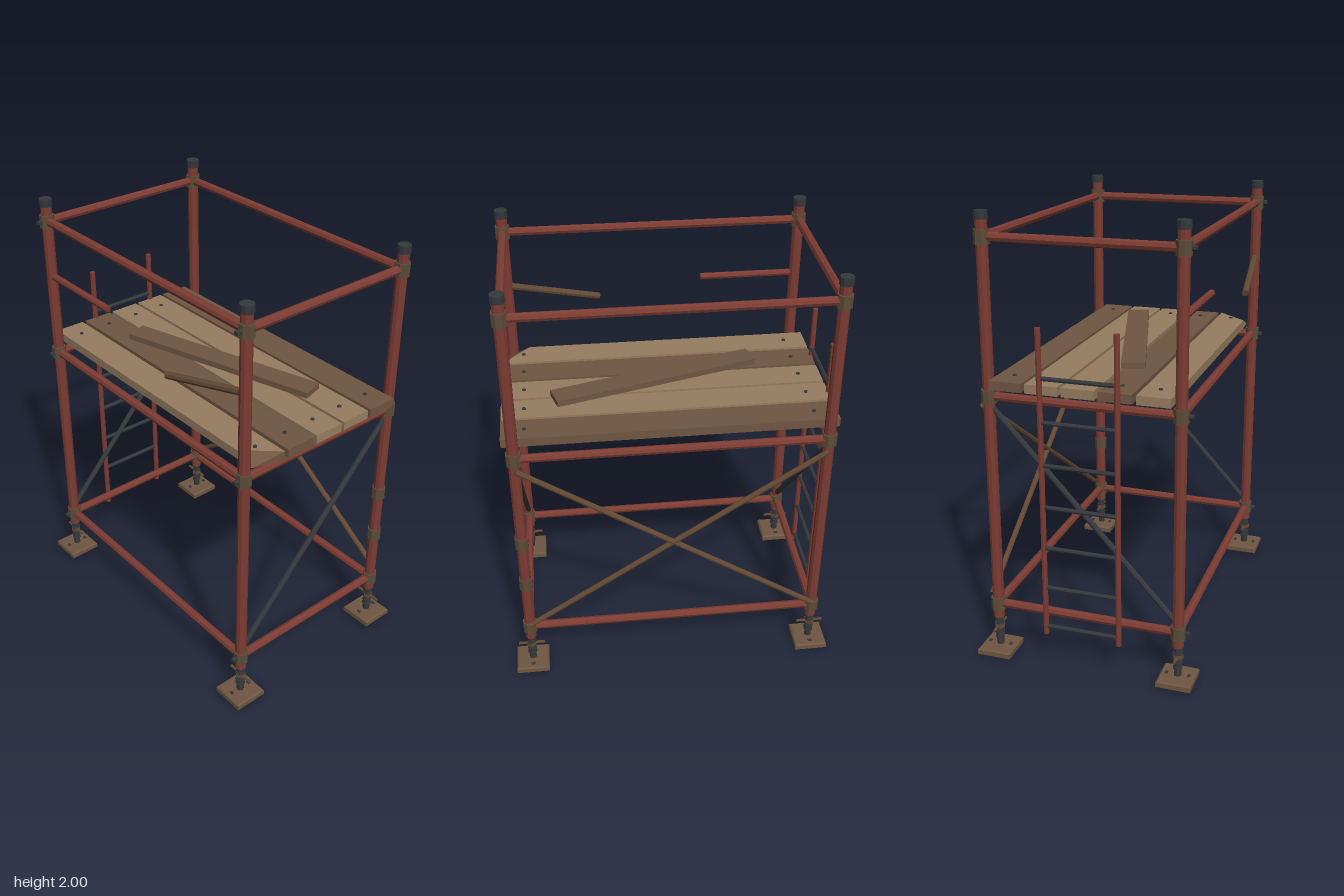
import * as THREE from 'three';

const mat = (name, color, flat = true) => {
  const m = new THREE.MeshStandardMaterial({ color, flatShading: flat });
  m.name = name;
  return m;
};

export function createModel() {
  const root = new THREE.Group();
  root.name = 'scaffold';
  const red = mat('redPaint', 0x7c3c33);
  const steel = mat('darkSteel', 0x34383c);
  const clampMetal = mat('clampMetal', 0x5c4c38);
  const rust = mat('rustyBrace', 0x634934);
  const paleWood = mat('paleWood', 0x967d60);
  const darkWood = mat('darkWood', 0x705642);

  const add = (name, geometry, material, x = 0, y = 0, z = 0, parent = root) => {
    const mesh = new THREE.Mesh(geometry, material);
    mesh.name = name;
    mesh.position.set(x, y, z);
    parent.add(mesh);
    return mesh;
  };
  // Round tube between two points
  const tube = (name, a, b, r, material, sides = 8, parent = root) => {
    const p = new THREE.Vector3(...a), q = new THREE.Vector3(...b);
    const d = q.clone().sub(p);
    const geo = new THREE.CylinderGeometry(r, r, d.length(), sides);
    const mesh = add(name, geo, material, 0, 0, 0, parent);
    mesh.position.copy(p).add(q).multiplyScalar(0.5);
    mesh.quaternion.setFromUnitVectors(new THREE.Vector3(0, 1, 0), d.normalize());
    return mesh;
  };

  const PX = 0.685, PZ = 0.42;
  const levels = [0.245, 1.225, 1.895];

  // Base plate with chamfered rim
  const plateShape = new THREE.Shape();
  const h = 0.071;
  plateShape.moveTo(-h, -h).lineTo(h, -h).lineTo(h, h).lineTo(-h, h).closePath();
  const plateGeo = new THREE.ExtrudeGeometry(plateShape, {
    depth: 0.022, bevelEnabled: true, bevelSize: 0.007, bevelThickness: 0.007, bevelSegments: 1,
  });
  plateGeo.rotateX(-Math.PI / 2).translate(0, 0.007, 0);

  // Corner legs: plate, screw jack, post, cap and clamps
  for (const sx of [-1, 1]) for (const sz of [-1, 1]) {
    const leg = new THREE.Group();
    leg.name = 'cornerLeg';
    leg.position.set(sx * PX, 0, sz * PZ);
    root.add(leg);
    add('basePlate', plateGeo, darkWood, 0, 0, 0, leg);
    for (const bz of [-0.05, 0.05])
      add('plateBolt', new THREE.BoxGeometry(0.018, 0.006, 0.012), steel, 0, 0.038, bz, leg);
    tube('jackScrew', [0, 0.03, 0], [0, 0.2, 0], 0.017, steel, 8, leg);
    for (let i = 0; i < 5; i++)
      add('jackThread', new THREE.CylinderGeometry(0.022, 0.022, 0.009, 8), steel, 0, 0.075 + i * 0.023, 0, leg);
    add('jackNut', new THREE.CylinderGeometry(0.025, 0.025, 0.02, 6), rust, 0, 0.13, 0, leg);
    tube('jackHandle', [-0.063, 0.13, 0], [0.063, 0.13, 0], 0.007, rust, 6, leg);
    tube('post', [0, 0.178, 0], [0, 1.97, 0], 0.026, red, 10, leg);
    add('postCap', new THREE.CylinderGeometry(0.03, 0.03, 0.035, 10), steel, 0, 1.9825, 0, leg);
    for (const y of levels) {
      add('clamp', new THREE.CylinderGeometry(0.034, 0.034, 0.06, 8).rotateY(Math.PI / 8), clampMetal, 0, y, 0, leg);
      add('clampBolt', new THREE.CylinderGeometry(0.011, 0.011, 0.022, 6).rotateX(Math.PI / 2), steel, 0, y, 0.041, leg);
    }
  }

  // Repair sleeves on one rear post
  for (const y of [0.52, 0.765])
    add('repairSleeve', new THREE.CylinderGeometry(0.032, 0.032, 0.06, 8).rotateY(Math.PI / 8), clampMetal, PX, y, -PZ);

  // Horizontal rails
  for (const y of levels) for (const s of [-1, 1]) {
    tube('longRail', [-PX, y, s * PZ], [PX, y, s * PZ], 0.02, red);
    tube('sideRail', [s * PX, y, -PZ], [s * PX, y, PZ], 0.02, red);
  }

  // Diagonal braces
  for (const s of [-1, 1]) {
    tube('rearBrace', [-s * 0.68, 0.28, -0.453], [s * 0.68, 1.18, -0.453], 0.013, rust);
    tube('sideBrace', [s * PX, 0.28, 0.42], [s * PX, 1.19, -0.42], 0.013, steel);
  }

  // Broken middle guard rail
  tube('brokenRailStub', [-PX, 1.626, PZ], [-0.228, 1.626, PZ], 0.016, red);
  tube('hangingRail', [PX, 1.626, PZ], [0.253, 1.527, 0.466], 0.016, rust);

  // Deck planks with nails
  const zs = [-0.322, -0.163, -0.004, 0.156, 0.318];
  zs.forEach((z, i) => {
    const wood = i === 0 || i === 3 ? darkWood : paleWood;
    const geo = new THREE.BoxGeometry(1.47, 0.04, 0.144);
    let material = wood;
    if (i === 4) {
      // Splintered corner on the front plank
      const p = geo.attributes.position;
      for (let v = 0; v < p.count; v++)
        if (p.getX(v) > 0 && p.getZ(v) > 0) p.setX(v, p.getY(v) > 0 ? 0.605 : 0.695);
      geo.computeVertexNormals();
      material = [darkWood, wood, wood, wood, wood, wood];
    }
    add('deckPlank', geo, material, 0, 1.288, z);
    for (const s of [-1, 1])
      add('nail', new THREE.CylinderGeometry(0.009, 0.009, 0.006, 8), steel, s * 0.633, 1.31, z);
  });

  // Loose plank lying across the deck
  add('loosePlank', new THREE.BoxGeometry(0.97, 0.028, 0.105), darkWood, 0.034, 1.336, 0).rotation.y = 0.284;

  // Ladder
  const ladder = new THREE.Group();
  ladder.name = 'ladder';
  root.add(ladder);
  for (const s of [-1, 1])
    tube('ladderStile', [-0.737, 0.163, s * 0.168], [-0.737, 1.552, s * 0.168], 0.013, red, 8, ladder);
  for (let i = 0; i < 7; i++) {
    const y = 0.2 + i * 0.19;
    tube('ladderRung', [-0.737, y, -0.165], [-0.737, y, 0.165], 0.01, steel, 8, ladder);
  }
  return root;
}
